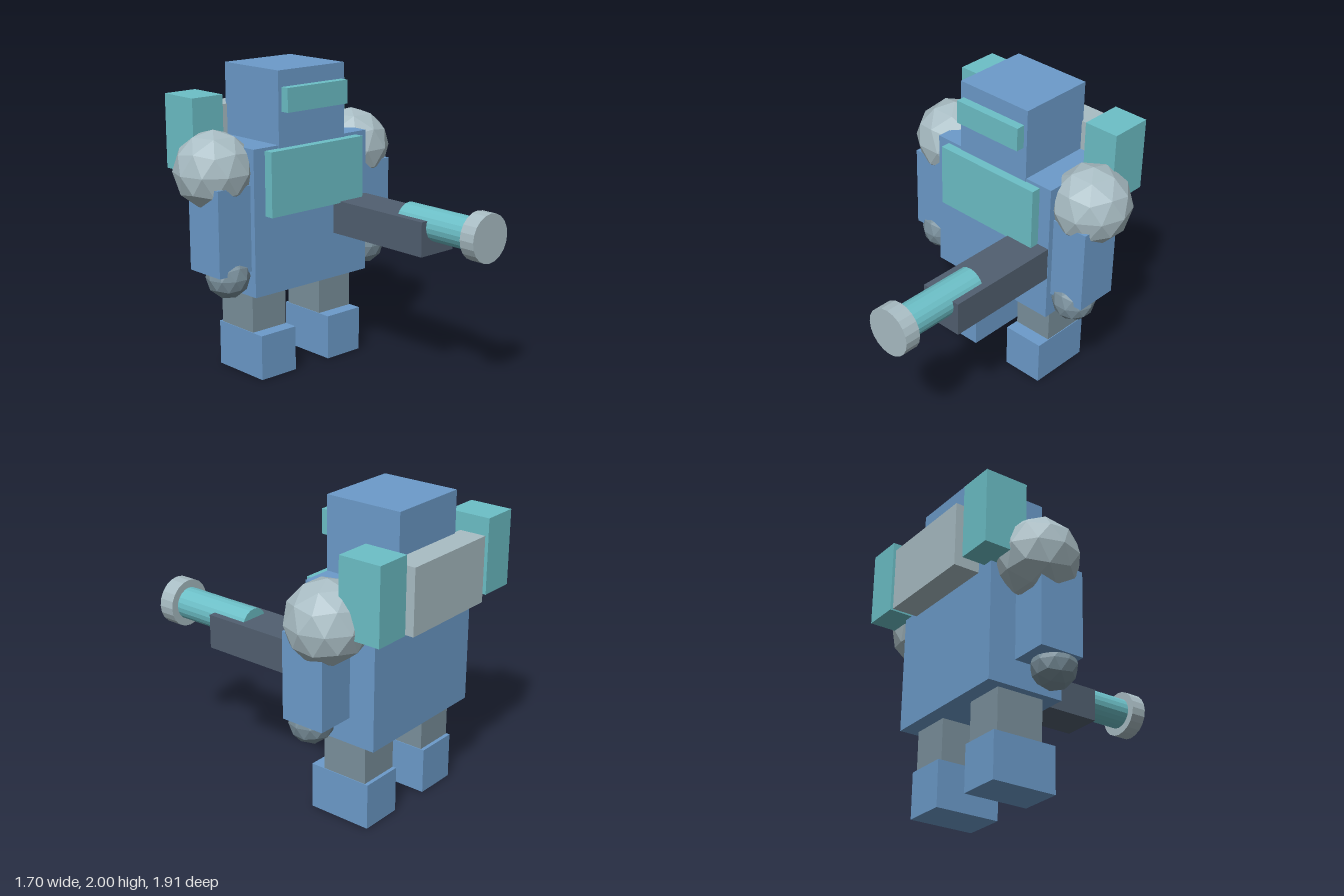
import * as THREE from 'three';

const makeMaterial = (name, color) => {
  const m = new THREE.MeshStandardMaterial({ color, flatShading: true });
  m.name = name;
  return m;
};

export function createModel() {
  const model = new THREE.Group();
  model.name = 'robot';

  const blue = makeMaterial('armourBlue', 0x6c9bca);
  const teal = makeMaterial('teal', 0x6cbfc7);
  const lightGrey = makeMaterial('lightGrey', 0xa9bdc4);
  const grey = makeMaterial('jointGrey', 0x7a909c);
  const dark = makeMaterial('gunmetal', 0x515f70);

  const add = (name, geometry, material) => {
    const mesh = new THREE.Mesh(geometry, material);
    mesh.name = name;
    model.add(mesh);
    return mesh;
  };

  // Box given by its extents on each axis
  const box = (name, material, [x0, x1], [y0, y1], [z0, z1]) =>
    add(name, new THREE.BoxGeometry(x1 - x0, y1 - y0, z1 - z0), material)
      .position.set((x0 + x1) / 2, (y0 + y1) / 2, (z0 + z1) / 2);

  // Faceted ball with a corner pointing straight up
  const ball = (name, material, r, x, y, z) => {
    const g = new THREE.IcosahedronGeometry(r, 1);
    g.rotateZ(-Math.atan(2 / (1 + Math.sqrt(5))));
    g.rotateY(Math.PI / 2);
    add(name, g, material).position.set(x, y, z);
  };

  // Cylinder lying along z
  const tube = (name, material, r, x, y, [z0, z1]) => {
    const g = new THREE.CylinderGeometry(r, r, z1 - z0, 20);
    g.rotateX(Math.PI / 2);
    add(name, g, material).position.set(x, y, (z0 + z1) / 2);
  };

  // Body and head
  box('torso', blue, [-0.48, 0.48], [0.57, 1.53], [-0.785, -0.27]);
  box('head', blue, [-0.278, 0.278], [1.5, 2], [-0.792, -0.265]);
  box('visor', teal, [-0.253, 0.253], [1.74, 1.895], [-0.3, -0.205]);
  box('chestPlate', teal, [-0.39, 0.39], [1.09, 1.51], [-0.3, -0.205]);
  box('backpack', lightGrey, [-0.35, 0.35], [1.31, 1.73], [-0.957, -0.78]);

  // Mirrored limbs and shoulder launchers
  for (const [side, s] of [['left', 1], ['right', -1]]) {
    const span = (a, b) => (s > 0 ? [a, b] : [-b, -a]);
    box(side + 'Launcher', teal, span(0.41, 0.65), [1.335, 1.82], [-0.942, -0.655]);
    ball(side + 'Shoulder', lightGrey, 0.26, s * 0.592, 1.375, -0.527);
    box(side + 'Arm', blue, span(0.455, 0.735), [0.74, 1.3], [-0.605, -0.307]);
    ball(side + 'Hand', grey, 0.143, s * 0.592, 0.708, -0.408);
    box(side + 'Leg', grey, span(0.15, 0.427), [0.28, 0.59], [-0.685, -0.37]);
    box(side + 'Foot', blue, span(0.145, 0.432), [0, 0.3], [-0.71, -0.277]);
  }

  // Forward-facing gun
  box('gunBody', dark, [0.192, 0.477], [0.875, 1.1], [-0.3, 0.527]);
  tube('gunBarrel', teal, 0.105, 0.336, 1.057, [0.277, 0.86]);
  tube('gunMuzzle', lightGrey, 0.156, 0.336, 1.057, [0.85, 0.957]);

  return model;
}
